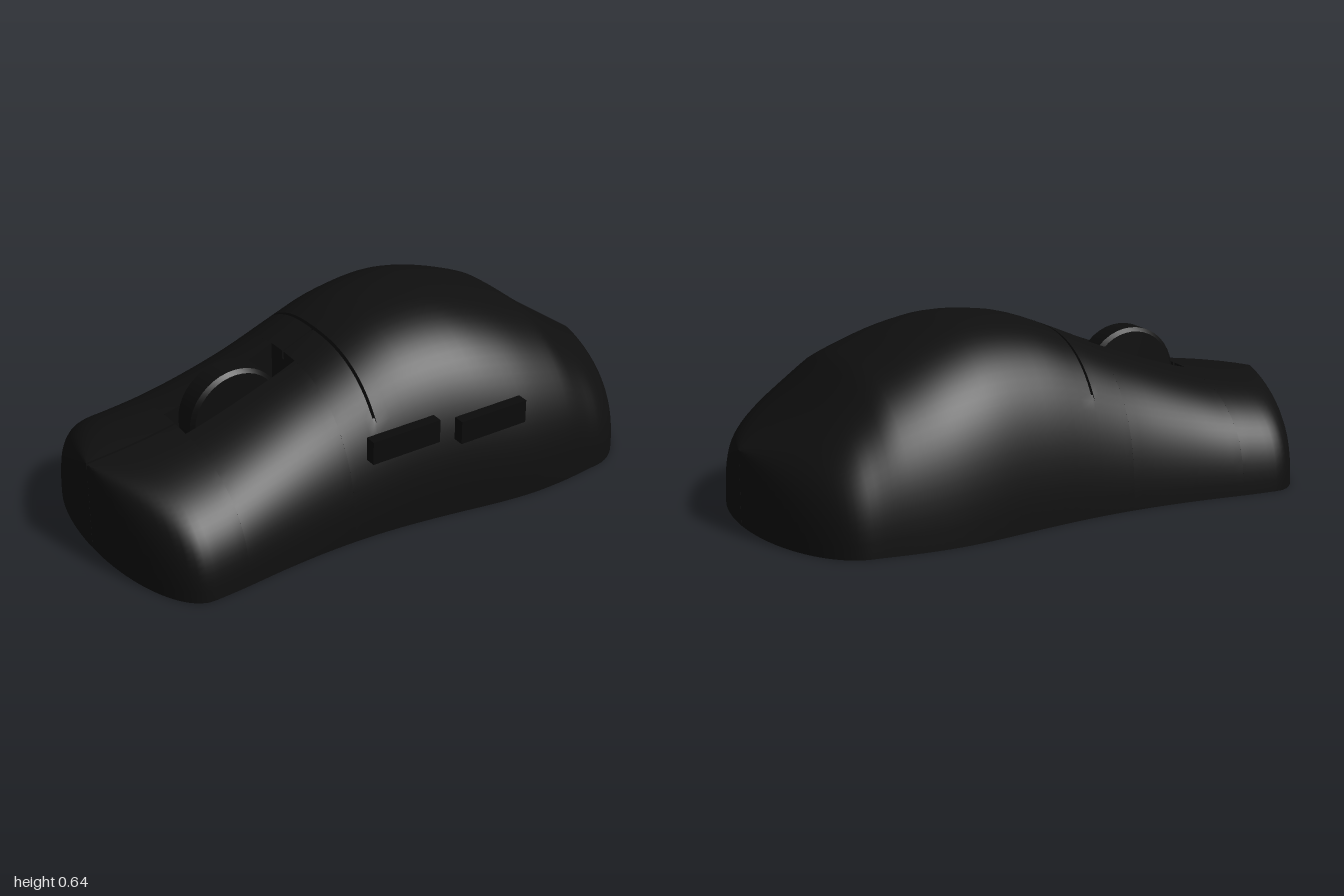
import * as THREE from 'three';
import { toCreasedNormals } from 'three/addons/utils/BufferGeometryUtils.js';

const mat = (name, color) => Object.assign(new THREE.MeshStandardMaterial({ color }), { name });

// Smooth curve through [x, value] points
function smooth(pts) {
  const slope = pts.map((p, i) => {
    const a = pts[Math.max(i - 1, 0)], b = pts[Math.min(i + 1, pts.length - 1)];
    return (b[1] - a[1]) / (b[0] - a[0]);
  });
  return (x) => {
    let i = 0;
    while (i < pts.length - 2 && x > pts[i + 1][0]) i++;
    const d = pts[i + 1][0] - pts[i][0], t = (x - pts[i][0]) / d, t2 = t * t, t3 = t2 * t;
    return (2 * t3 - 3 * t2 + 1) * pts[i][1] + (t3 - 2 * t2 + t) * d * slope[i]
      + (3 * t2 - 2 * t3) * pts[i + 1][1] + (t3 - t2) * d * slope[i + 1];
  };
}

const height = smooth([[-1, 0.33], [-0.8, 0.352], [-0.63, 0.386], [-0.34, 0.485], [-0.12, 0.577], [0, 0.62],
  [0.1, 0.638], [0.2, 0.645], [0.3, 0.638], [0.45, 0.6], [0.62, 0.534], [0.65, 0.517], [0.8, 0.398], [0.9, 0.326], [1, 0.26]]);
const side = smooth([[-0.81, 0.485], [-0.7, 0.478], [-0.5, 0.458], [-0.3, 0.45], [-0.1, 0.459], [0.1, 0.485],
  [0.3, 0.519], [0.42, 0.533], [0.5, 0.535], [0.6, 0.53], [0.73, 0.515]]);

// Half width in plan, with elliptical nose and tail
function halfWidth(x) {
  const c = THREE.MathUtils.clamp(x, -0.81, 0.73);
  const e = (x - c) / (x < 0 ? 0.19 : 0.27);
  return Math.max(side(c) * Math.sqrt(Math.max(0, 1 - e * e)), 0.0005);
}

// Domed section; a groove of half width g and given floor runs along its middle
function section(x, { g, floor, clip = Infinity }) {
  const n = 2.5, steps = 22, w = halfWidth(x), h = height(x);
  const half = Math.min(g, w * 0.5);
  const end = Math.acos(Math.pow(half / w, n / 2));
  const pts = [];
  for (let i = 0; i <= steps; i++) {
    const a = end * i / steps;
    pts.push([w * Math.pow(Math.cos(a), 2 / n), Math.min(clip, h * Math.pow(Math.sin(a), 2 / n))]);
  }
  pts.push([half, Math.min(clip, floor(pts[steps][1]))]);
  const mirror = pts.map(([z, y]) => [-z, y]).reverse();
  return [...pts, ...mirror].map(([z, y]) => new THREE.Vector3(x, y, z));
}

function shellGeometry() {
  const seam = { g: 0.005, floor: (y) => y - 0.03 };
  const well = { g: 0.075, floor: () => 0.27 };
  const gap = { g: 0.005, floor: (y) => y, clip: 0.4 };
  const plain = { g: 0.005, floor: (y) => y };
  // Zones from nose to tail; doubled end sections form the groove walls
  const zones = [
    [-1, -0.67, 18, seam, (t) => t * t],
    [-0.67, -0.245, 12, well, (t) => t],
    [-0.245, -0.126, 5, seam, (t) => t],
    [-0.126, -0.116, 1, gap, (t) => t],
    [-0.116, 1, 44, plain, (t) => 1 - (1 - t) ** 2],
  ];
  const rows = [];
  for (const [x0, x1, count, style, ease] of zones)
    for (let i = 0; i <= count; i++) rows.push(section(x0 + (x1 - x0) * ease(i / count), style));

  const pos = [];
  const tri = (a, b, c) => {
    const area = b.clone().sub(a).cross(c.clone().sub(a)).length();
    if (area > 1e-9) for (const p of [a, b, c]) pos.push(p.x, p.y, p.z);
  };
  for (let i = 0; i < rows.length - 1; i++) {
    const p = rows[i], q = rows[i + 1], n = p.length;
    for (let j = 0; j < n; j++) {
      const k = (j + 1) % n;
      tri(p[j], q[j], q[k]);
      tri(p[j], q[k], p[k]);
    }
  }
  const geo = new THREE.BufferGeometry();
  geo.setAttribute('position', new THREE.Float32BufferAttribute(pos, 3));
  return toCreasedNormals(geo, 0.5);
}

export function createModel() {
  const group = new THREE.Group();
  const shellMat = mat('shell black', 0x0f0f0f);
  shellMat.side = THREE.DoubleSide;
  const buttonMat = mat('button black', 0x0b0b0b);
  const wheelMat = mat('wheel black', 0x0d0d0d);
  const add = (name, geo, material, x, y, z) => {
    const mesh = new THREE.Mesh(geo, material);
    mesh.name = name;
    mesh.position.set(x, y, z);
    group.add(mesh);
    return mesh;
  };

  // Body with button seams and wheel well
  add('shell', shellGeometry(), shellMat, 0, 0, -0.003);

  // Scroll wheel with bevelled rims
  const profile = [[0, -0.053], [0.162, -0.053], [0.175, -0.04], [0.175, 0.04], [0.162, 0.053], [0, 0.053]]
    .map(([r, y]) => new THREE.Vector2(r, y));
  const wheel = add('scrollWheel', toCreasedNormals(new THREE.LatheGeometry(profile, 40), 0.5), wheelMat, -0.46, 0.36, -0.003);
  wheel.rotation.x = Math.PI / 2;

  // Thumb buttons standing off the side
  const thumb = new THREE.BoxGeometry(0.267, 0.085, 0.04);
  add('frontThumbButton', thumb, buttonMat, -0.068, 0.353, 0.468);
  add('rearThumbButton', thumb, buttonMat, 0.251, 0.353, 0.519);
  return group;
}
